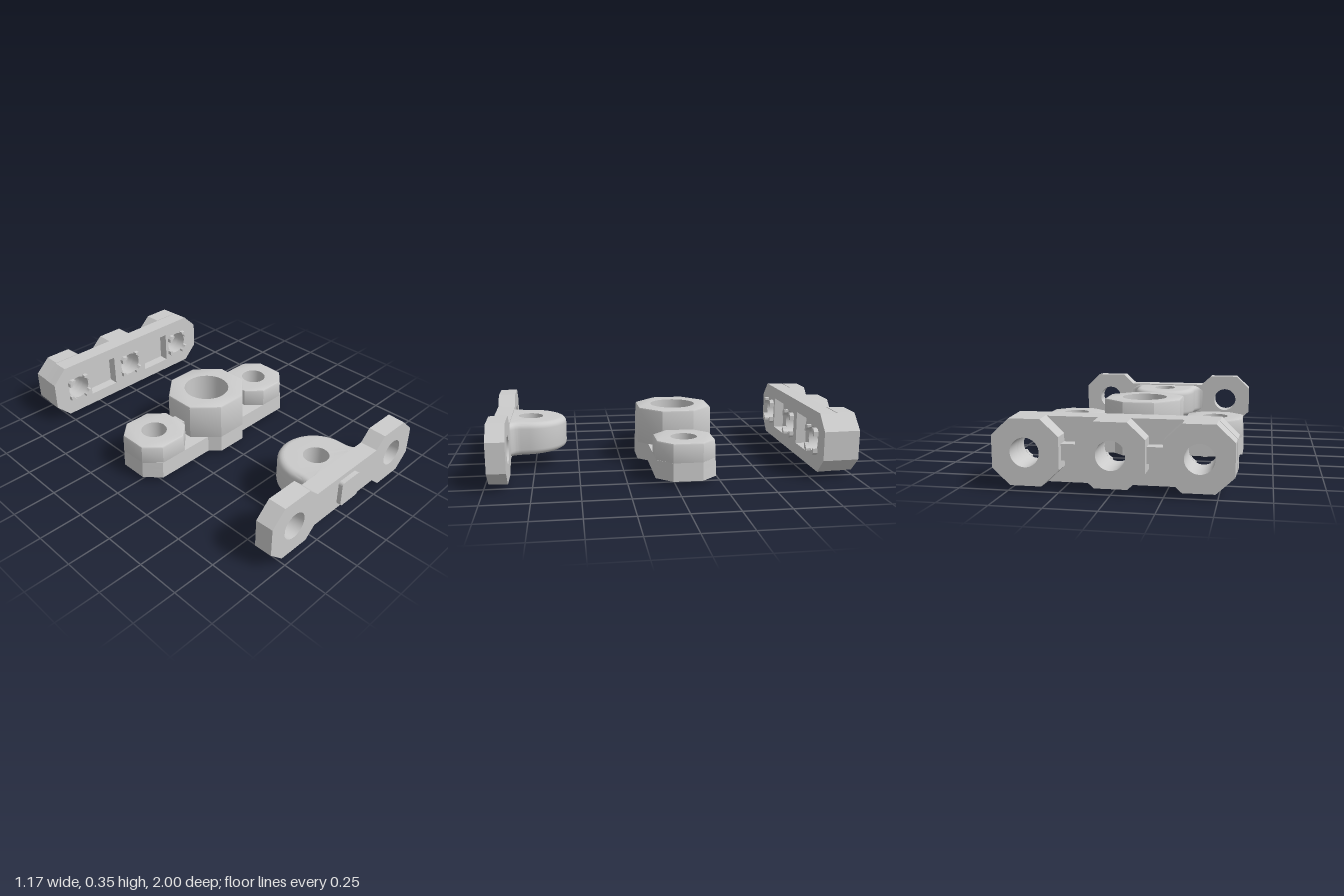
import * as THREE from 'three';
import { toCreasedNormals } from 'three/addons/utils/BufferGeometryUtils.js';

const material = new THREE.MeshStandardMaterial({ color: 0xcccccc });
const END = 0.415; // bolt hole offset from the middle
const BORE = 0.072;

// Full outline from the points of one quadrant, listed from +x towards +y
function mirrored(quarter) {
  const back = [...quarter].reverse();
  return [
    ...quarter,
    ...back.map(([x, y]) => [-x, y]),
    ...quarter.map(([x, y]) => [-x, -y]),
    ...back.map(([x, y]) => [x, -y]),
  ];
}
function shapeOf(points) {
  return new THREE.Shape(points.map(([x, y]) => new THREE.Vector2(x, y)));
}
function octagon(cx, half, flat) {
  return shapeOf(mirrored([[half, flat], [flat, half]]).map(([x, y]) => [x + cx, y]));
}
function drill(shape, cx, r, cy = 0) {
  shape.holes.push(new THREE.Path().absarc(cx, cy, r, 0, Math.PI * 2, true));
  return shape;
}
function cutRect(shape, x0, x1, h) {
  shape.holes.push(new THREE.Path([[x0, -h], [x0, h], [x1, h], [x1, -h]].map(p => new THREE.Vector2(...p))));
  return shape;
}

// Extrusion from w0 to w1, with an optional bevel inside the outline
function solid(shape, w0, w1, bevel = 0, segments = 1) {
  const geo = new THREE.ExtrudeGeometry(shape, {
    depth: w1 - w0 - 2 * bevel, curveSegments: 20, bevelEnabled: bevel > 0,
    bevelSize: bevel, bevelThickness: bevel, bevelOffset: -bevel, bevelSegments: segments,
  });
  return geo.translate(0, 0, w0 + bevel);
}
// Keep a bore straight where a bevel would have flared it
function straighten(geo, cx, cy, r, reach) {
  const p = geo.attributes.position;
  for (let i = 0; i < p.count; i++) {
    const dx = p.getX(i) - cx, dy = p.getY(i) - cy, d = Math.hypot(dx, dy);
    if (d < reach) p.setXY(i, cx + dx * r / d, cy + dy * r / d);
  }
  return geo;
}
// Slight casting draft on the outer walls
function draft(geo) {
  const p = geo.attributes.position;
  for (let i = 0; i < p.count; i++) {
    const x = p.getX(i), y = p.getY(i), d = 0.03 * Math.max(0, p.getZ(i));
    p.setXY(i, Math.abs(x) > 0.49 ? x - Math.sign(x) * d : x, Math.abs(y) > 0.14 ? y - Math.sign(y) * d : y);
  }
  return geo;
}
function add(group, name, geo) {
  const mesh = new THREE.Mesh(toCreasedNormals(geo, 0.5), material);
  mesh.name = name;
  group.add(mesh);
  return mesh;
}

// Four small corner claws around a bore
function addClaws(group, cx) {
  for (let i = 0; i < 4; i++) {
    const s = new THREE.Shape();
    s.moveTo(0.061, 0.035);
    s.lineTo(0.075, 0.035);
    s.lineTo(0.075, 0.06);
    s.lineTo(0.06, 0.075);
    s.lineTo(0.035, 0.075);
    s.lineTo(0.035, 0.061);
    s.quadraticCurveTo(0.053, 0.053, 0.061, 0.035);
    add(group, 'locatingClaw', solid(s, -0.025, 0.002).rotateZ(i * Math.PI / 2).translate(cx, 0, 0));
  }
}

// Flat plate with octagonal ends and a rounded lug
function frontBracket() {
  const g = new THREE.Group();
  g.name = 'lugBracket';
  const plate = shapeOf(mirrored([[0.585, 0.082], [0.5, 0.165], [0.315, 0.165], [0.25, 0.1025]]));
  for (const s of [-1, 1]) drill(plate, s * END, 0.075);
  add(g, 'bracketPlate', draft(solid(plate, 0, 0.1)));

  const b = 0.074, r = 0.02;
  const pad = new THREE.Shape();
  [[b - r, b - r, 0], [r - b, b - r, 1], [r - b, r - b, 2], [b - r, r - b, 3]].forEach(([x, y, q]) =>
    pad.absarc(x, y, r, q * Math.PI / 2, (q + 1) * Math.PI / 2));
  add(g, 'squarePad', solid(pad, 0.09, 0.125));

  const lug = new THREE.Shape();
  lug.moveTo(-0.27, -0.05);
  lug.lineTo(0.27, -0.05);
  lug.lineTo(0.26, 0);
  lug.quadraticCurveTo(0.207, 0, 0.205, 0.055);
  lug.lineTo(0.205, 0.105);
  lug.absarc(0, 0.105, 0.205, 0, Math.PI);
  lug.lineTo(-0.205, 0.055);
  lug.quadraticCurveTo(-0.207, 0, -0.26, 0);
  drill(lug, 0, 0.07, 0.108);
  const geo = straighten(solid(lug, -0.096, 0.096, 0.035, 5), 0, 0.108, 0.07, 0.125);
  const p = geo.attributes.position;
  for (let i = 0; i < p.count; i++) p.setZ(i, p.getZ(i) * (1 - 0.3 * Math.max(0, p.getY(i))));
  add(g, 'roundedLug', geo.rotateX(-Math.PI / 2));
  g.position.set(0, 0.193, 0.875);
  return g;
}

// Tall octagonal socket between two lower bolt lobes
function socketBlock() {
  const g = new THREE.Group();
  g.name = 'socketBlock';
  const base = () => {
    const s = shapeOf(mirrored([[0.58, 0.08], [0.5, 0.165], [0.145, 0.165], [0.09, 0.22]]));
    drill(s, 0, 0.13);
    for (const k of [-1, 1]) drill(s, k * END, BORE);
    return s;
  };
  const bottom = base();
  cutRect(bottom, 0.17, 0.31, 0.085);
  cutRect(bottom, -0.31, -0.17, 0.085);
  add(g, 'pocketedBase', draft(solid(bottom, 0, 0.06)));
  add(g, 'baseDeck', draft(solid(base(), 0.06, 0.1)));
  const socket = drill(octagon(0, 0.22, 0.09), 0, 0.13);
  add(g, 'octagonSocket', draft(straighten(solid(socket, 0.09, 0.307, 0.01, 2), 0, 0, 0.13, 0.16)));
  for (const s of [-1, 1]) {
    const lobe = drill(octagon(s * END, 0.165, 0.08), s * END, BORE);
    add(g, 'boltLobe', draft(straighten(solid(lobe, 0.09, 0.205, 0.01, 2), s * END, 0, BORE, 0.1)));
    add(g, 'webRib', new THREE.BoxGeometry(0.06, 0.08, 0.1).translate(s * 0.237, 0, 0.135));
    addClaws(g, s * END);
  }
  g.rotation.x = -Math.PI / 2;
  g.position.set(0, 0.03, -0.065);
  return g;
}

// Bar with three octagonal bosses behind and two pockets in its face
function rearBar() {
  const g = new THREE.Group();
  g.name = 'rearBar';
  const bar = () => {
    const s = shapeOf(mirrored([[0.585, 0.08], [0.5, 0.165]]));
    for (const k of [-1, 0, 1]) drill(s, k * END, BORE);
    return s;
  };
  const face = bar();
  cutRect(face, 0.125, 0.32, 0.095);
  cutRect(face, -0.32, -0.125, 0.095);
  add(g, 'pocketedFace', draft(solid(face, 0, 0.06)));
  add(g, 'barCore', draft(solid(bar(), 0.06, 0.1)));
  for (const k of [-1, 0, 1]) {
    const boss = drill(octagon(k * END, k ? 0.168 : 0.165, 0.08), k * END, BORE);
    add(g, 'octagonBoss', draft(solid(boss, 0.1, 0.2)));
    addClaws(g, k * END);
    if (k) add(g, 'webRib', new THREE.BoxGeometry(0.1, 0.08, 0.07).translate(k * 0.207, 0, 0.125));
  }
  g.rotation.y = Math.PI;
  g.position.set(0, 0.193, -0.8);
  return g;
}

export function createModel() {
  const model = new THREE.Group();
  model.name = 'bracketSet';
  model.add(frontBracket(), socketBlock(), rearBar());
  return model;
}
